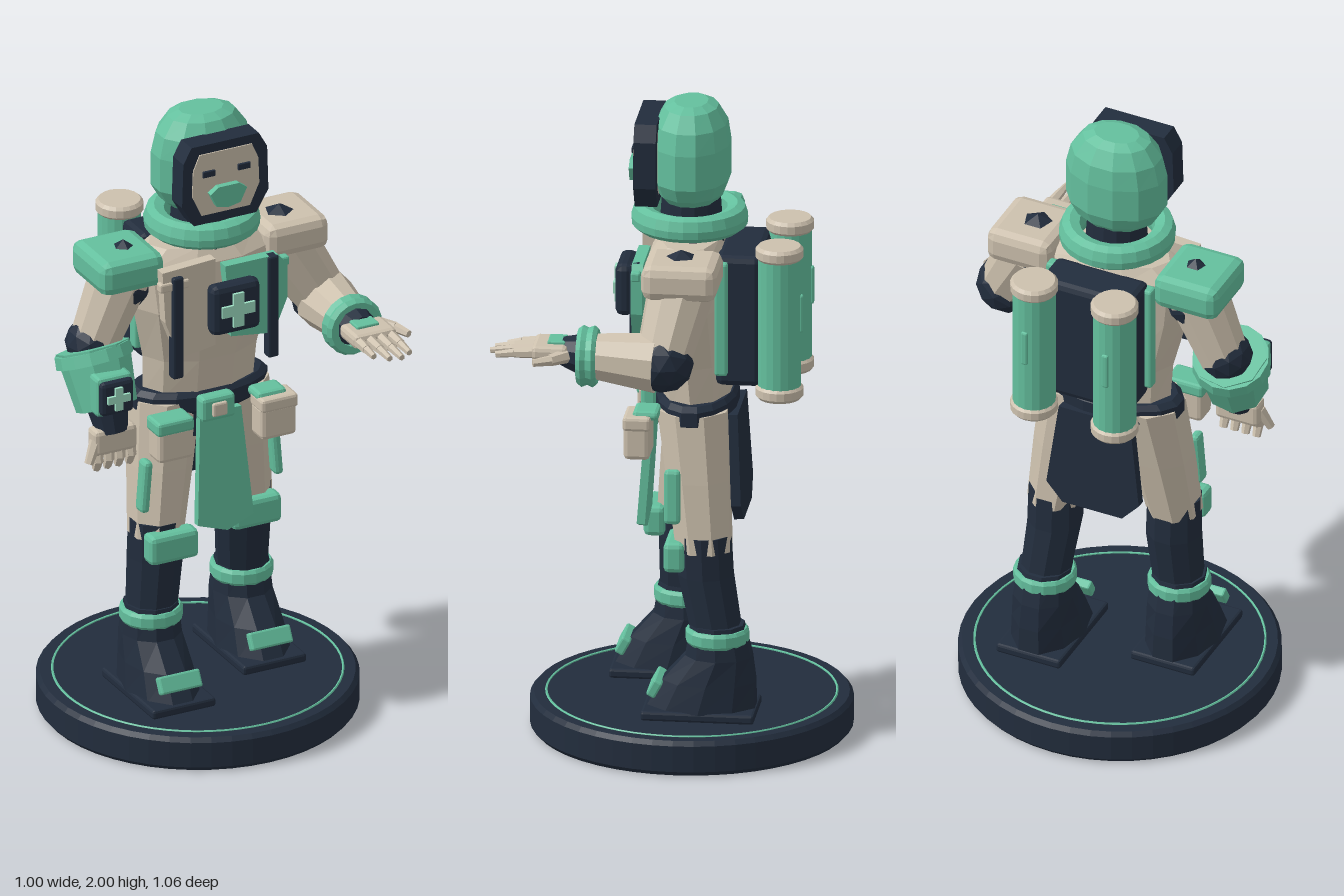
import * as THREE from 'three';
import { RoundedBoxGeometry } from 'three/addons/geometries/RoundedBoxGeometry.js';

export function createModel() {
  const root = new THREE.Group();
  root.name = 'medicFigure';
  const mat = (name, color) => Object.assign(new THREE.MeshStandardMaterial({ color }), { name });
  const green = mat('green', 0x64c09e), dark = mat('darkNavy', 0x222d3d);
  const beige = mat('beige', 0xcdc1ae), mint = mat('paleMint', 0x9fe0c4);

  // Faceted mesh from any geometry
  function add(name, geo, m, x = 0, y = 0, z = 0, rx = 0, ry = 0, rz = 0) {
    const g = geo.index ? geo.toNonIndexed() : geo;
    g.computeVertexNormals();
    const mesh = new THREE.Mesh(g, m);
    mesh.name = name;
    mesh.position.set(x, y, z);
    mesh.rotation.set(rx, ry, rz);
    root.add(mesh);
    return mesh;
  }
  // Chamfered box
  const cbox = (w, h, d, c = 0.012) => new RoundedBoxGeometry(w, h, d, 1, c);
  // Tapered round limb between two points
  function limb(name, m, a, b, ra, rb, n = 10) {
    const A = new THREE.Vector3(...a), B = new THREE.Vector3(...b);
    const mesh = add(name, new THREE.CylinderGeometry(rb, ra, A.distanceTo(B), n), m);
    mesh.position.copy(A).add(B).multiplyScalar(0.5);
    mesh.quaternion.setFromUnitVectors(new THREE.Vector3(0, 1, 0), B.sub(A).normalize());
    return mesh;
  }
  // Loft of elliptical rings [y, rx, rz, cx, cz], listed from top to bottom
  function loft(rings, n = 8) {
    const g = new THREE.CylinderGeometry(1, 1, 1, n, rings.length - 1, false, Math.PI / n);
    const p = g.attributes.position, k = 1 / Math.cos(Math.PI / n);
    for (let i = 0; i < p.count; i++) {
      const [y, rx, rz, cx = 0, cz = 0] = rings[Math.round((0.5 - p.getY(i)) * (rings.length - 1))];
      p.setXYZ(i, p.getX(i) * rx * k + cx, y, p.getZ(i) * rz * k + cz);
    }
    return g;
  }
  // Flat extruded plate from outline points
  const outline = pts => pts.map(([x, y]) => new THREE.Vector2(x, y));
  function plate(pts, depth, hole) {
    const s = new THREE.Shape(outline(pts));
    if (hole) s.holes.push(new THREE.Path(outline(hole)));
    return new THREE.ExtrudeGeometry(s, { depth, bevelEnabled: false });
  }
  function lathe(pts, n) {
    return new THREE.LatheGeometry(outline(pts), n);
  }
  // Square badge carrying a plain cross
  function badge(name, x, y, z, s, d, rot = 0) {
    add(name, cbox(s, s, d, s * 0.12), dark, x, y, z);
    const a = s * 0.11, b = s * 0.34;
    const pts = [[-a, -b], [a, -b], [a, -a], [b, -a], [b, a], [a, a], [a, b], [-a, b], [-a, a], [-b, a], [-b, -a], [-a, -a]];
    add(name + 'Cross', plate(pts, 0.009), mint, x, y, z + d / 2);
  }

  // Display base
  add('base', lathe([[0, 0], [0.478, 0], [0.49, 0.014], [0.49, 0.096], [0.478, 0.11], [0, 0.11]], 48), dark, -0.011, 0, -0.04);
  add('baseRing', new THREE.TorusGeometry(0.44, 0.004, 5, 64), green, -0.011, 0.111, -0.04, Math.PI / 2);

  // Legs and boots; the right foot stands forward
  for (const [side, s, kz, az] of [['left', 1, -0.1, -0.142], ['right', -1, 0.0, 0.0]]) {
    const ax = s * 0.191, kx = s * 0.175;
    add(side + 'Sole', cbox(0.215, 0.03, 0.345, 0.008), dark, ax, 0.125, az + 0.05);
    add(side + 'Boot', loft([[0.4, 0.08, 0.08, ax, az], [0.3, 0.09, 0.1, ax, az - 0.005],
      [0.22, 0.097, 0.14, ax, az + 0.025], [0.135, 0.105, 0.165, ax, az + 0.048]], 10), dark);
    add(side + 'ToePatch', cbox(0.14, 0.055, 0.03, 0.006), green, ax, 0.2, az + 0.185, -0.5);
    add(side + 'AnkleBand', lathe([[0.08, -0.025], [0.09, -0.025], [0.097, -0.015], [0.097, 0.015], [0.09, 0.025], [0.08, 0.025]], 16), green, ax, 0.362, az);
    add(side + 'Shin', loft([[0.68, 0.08, 0.08, kx, kz], [0.55, 0.082, 0.082, kx, kz - 0.005], [0.36, 0.075, 0.075, ax, az]], 10), dark);
    add(side + 'Thigh', loft([[1.06, 0.105, 0.105, s * 0.115, -0.06], [0.85, 0.095, 0.095, s * 0.145, (kz - 0.06) / 2], [0.63, 0.08, 0.082, kx, kz]], 8), beige);
    add(side + 'KneePad', cbox(0.165, 0.095, 0.065, 0.016), green, kx - s * 0.008, 0.615, kz + 0.085);
    add(side + 'ThighPocket', cbox(0.03, 0.17, 0.05, 0.012), green, s * 0.235, 0.81, kz / 2 + 0.04, 0, 0, s * 0.08);
    // Belt pouches
    add(side + 'Pouch', cbox(0.12, 0.11, 0.08, 0.014), beige, s * 0.175, 0.975, 0.1);
    add(side + 'PouchFlap', cbox(0.125, 0.045, 0.085, 0.01), s < 0 ? green : beige, s * 0.177, 1.035, 0.1);
    if (s > 0) add('leftPouchTab', cbox(0.1, 0.03, 0.08), green, 0.165, 1.055, 0.075);
  }

  // Hips, belt and cloth panels
  add('hips', loft([[1.08, 0.18, 0.1, 0, -0.06], [0.93, 0.15, 0.09, 0, -0.06]], 10), dark);
  add('belt', loft([[1.09, 0.205, 0.11, 0, -0.06], [1.075, 0.225, 0.122, 0, -0.06], [1.03, 0.225, 0.122, 0, -0.06], [1.015, 0.205, 0.11, 0, -0.06]], 16), dark);
  add('buckle', cbox(0.115, 0.08, 0.05), green, -0.015, 1.05, 0.085);
  add('buckleCentre', cbox(0.05, 0.045, 0.02, 0.006), beige, -0.015, 1.05, 0.11);
  add('frontCloth', plate([[-0.07, 0], [0.07, 0], [0.1, -0.36], [0.01, -0.395], [-0.09, -0.36]], 0.025), green, 0, 1.03, 0.065, -0.07);
  add('backCloth', plate([[-0.12, 0], [0.12, 0], [0.155, -0.28], [0.1, -0.34], [-0.1, -0.34], [-0.155, -0.28]], 0.03), dark, 0, 1.04, -0.195, 0.05);

  // Torso, chest plates and straps
  add('torso', loft([[1.575, 0.17, 0.09, 0, -0.04], [1.53, 0.24, 0.115, 0, -0.035], [1.38, 0.225, 0.13, 0, -0.03],
    [1.2, 0.185, 0.115, 0, -0.05], [1.07, 0.18, 0.105, 0, -0.06]], 10), beige);
  add('rightChestPlate', plate([[-0.21, 1.55], [-0.03, 1.56], [-0.03, 1.27], [-0.15, 1.25], [-0.2, 1.38]], 0.035), beige, 0, 0, 0.078);
  add('leftChestPlate', plate([[0, 1.53], [0.18, 1.53], [0.212, 1.49], [0.212, 1.38], [0.165, 1.27], [0.02, 1.29]], 0.035), green, 0, 0, 0.085);
  for (const s of [-1, 1]) {
    add('chestStrap', cbox(0.036, 0.34, 0.036, 0.006), dark, s * 0.162, 1.36, 0.11);
    add('strapClip', cbox(0.1, 0.03, 0.03, 0.006), s > 0 ? green : beige, s * 0.17, 1.5, 0.105);
  }
  badge('chestBadge', 0.01, 1.412, 0.155, 0.165, 0.055);

  // Neck, collar and helmet
  add('neck', new THREE.CylinderGeometry(0.088, 0.1, 0.17, 14), dark, 0, 1.64, -0.04);
  add('collar', lathe([[0.115, 1.595], [0.155, 1.595], [0.176, 1.612], [0.178, 1.635], [0.168, 1.665], [0.145, 1.675], [0.115, 1.665], [0.11, 1.62], [0.115, 1.595]], 24), green, 0, 0, -0.035);
  add('helmet', loft([[2, 0.07, 0.05, 0, -0.04], [1.985, 0.105, 0.08, 0, -0.04], [1.935, 0.14, 0.108, 0, -0.04], [1.87, 0.155, 0.117, 0, -0.04],
    [1.76, 0.155, 0.117, 0, -0.04], [1.715, 0.13, 0.1, 0, -0.04], [1.69, 0.1, 0.08, 0, -0.04]], 12), green);
  const oct = (w, t, b) => [[-w, b + 0.07], [-w * 0.72, b], [w * 0.72, b], [w, b + 0.07], [w * 0.97, t - 0.05], [w * 0.78, t], [-w * 0.78, t], [-w * 0.97, t - 0.05]];
  add('visorFrame', plate(oct(0.147, 1.955, 1.69), 0.068, oct(0.113, 1.925, 1.722)), dark, 0, 0, 0.052);
  add('facePlate', plate(oct(0.114, 1.926, 1.721), 0.072), beige, 0, 0, 0.052);
  for (const s of [-1, 1]) add('eye', cbox(0.042, 0.02, 0.009, 0.002), dark, s * 0.06, 1.86, 0.128);
  add('faceMask', plate([[-0.062, 1.795], [-0.035, 1.815], [0.035, 1.815], [0.062, 1.795], [0.04, 1.75], [0, 1.742], [-0.04, 1.75]], 0.022), green, 0, 0, 0.122);

  // Backpack with twin tanks
  add('backpack', cbox(0.31, 0.415, 0.14, 0.02), dark, 0, 1.348, -0.2);
  for (const s of [-1, 1]) add('packSideFrame', cbox(0.035, 0.36, 0.04, 0.008), green, s * 0.16, 1.36, -0.15);
  for (const x of [-0.13, 0.14]) {
    add('tank', new THREE.CylinderGeometry(0.066, 0.066, 0.46, 18), green, x, 1.352, -0.325);
    for (const y of [1.131, 1.573])
      add('tankCap', lathe([[0, -0.022], [0.064, -0.022], [0.073, -0.012], [0.073, 0.012], [0.064, 0.022], [0, 0.022]], 20), beige, x, y, -0.325);
    add('tankRib', cbox(0.022, 0.12, 0.02, 0.006), green, x, 1.38, -0.388);
  }

  // Shoulders
  for (const [side, s, m] of [['right', -1, green], ['left', 1, beige]]) {
    add(side + 'ShoulderPad', cbox(0.215, 0.11, 0.23, 0.03), m, s * 0.28, 1.535, -0.045);
    add(side + 'ShoulderStud', new THREE.ConeGeometry(s > 0 ? 0.062 : 0.042, 0.03, 5), dark, s * 0.265, 1.597, -0.04);
    add(side + 'ShoulderJoint', new THREE.IcosahedronGeometry(0.095, 1), dark, s * 0.27, 1.47, -0.045);
  }

  // Right arm hanging, with gauntlet and badge
  limb('rightUpperArm', beige, [-0.27, 1.5, -0.045], [-0.365, 1.28, -0.045], 0.098, 0.078);
  add('rightElbow', new THREE.IcosahedronGeometry(0.082, 1), dark, -0.37, 1.29, -0.045);
  limb('rightGauntlet', green, [-0.375, 1.28, -0.03], [-0.365, 1.11, 0.045], 0.115, 0.095, 8);
  limb('rightGauntletRim', green, [-0.377, 1.275, -0.03], [-0.374, 1.24, -0.015], 0.118, 0.122, 14);
  add('gauntletMount', cbox(0.12, 0.13, 0.06), green, -0.38, 1.185, 0.1);
  badge('gauntletBadge', -0.38, 1.185, 0.135, 0.112, 0.03);
  limb('rightWrist', dark, [-0.365, 1.12, 0.045], [-0.36, 1.035, 0.07], 0.065, 0.05);
  add('rightPalm', cbox(0.145, 0.085, 0.06, 0.014), beige, -0.36, 1.015, 0.072);
  for (let i = 0; i < 4; i++) {
    const x = -0.415 + i * 0.037;
    limb('rightFinger', beige, [x, 0.99, 0.08], [x, 0.95, 0.088], 0.018, 0.016, 6);
    limb('rightFingertip', beige, [x, 0.96, 0.088], [x, 0.922, 0.072], 0.016, 0.013, 6);
  }
  limb('rightThumb', beige, [-0.42, 1.02, 0.08], [-0.452, 0.955, 0.095], 0.02, 0.014, 6);

  // Left arm reaching forward with an open hand
  limb('leftUpperArm', beige, [0.27, 1.5, -0.045], [0.385, 1.3, 0], 0.105, 0.085);
  add('leftElbow', new THREE.IcosahedronGeometry(0.094, 1), dark, 0.388, 1.292, 0.0);
  limb('leftForearm', beige, [0.39, 1.29, 0.02], [0.375, 1.3, 0.225], 0.095, 0.07);
  add('leftCuff', lathe([[0.06, -0.03], [0.084, -0.03], [0.094, -0.018], [0.087, 0], [0.094, 0.016], [0.084, 0.03], [0.06, 0.03], [0.06, -0.03]], 18), green, 0.374, 1.298, 0.23, Math.PI / 2);
  limb('leftWrist', dark, [0.374, 1.3, 0.21], [0.372, 1.312, 0.31], 0.078, 0.045);
  add('leftPalm', cbox(0.145, 0.045, 0.11, 0.014), beige, 0.372, 1.32, 0.342);
  add('leftHandPatch', cbox(0.075, 0.014, 0.055, 0.004), green, 0.368, 1.344, 0.323);
  [0.48, 0.515, 0.525, 0.505].forEach((tip, i) => {
    const x = 0.317 + i * 0.036, mid = 0.39 + (tip - 0.39) * 0.52;
    limb('leftFinger', beige, [x, 1.32, 0.385], [x + 0.001, 1.317, mid], 0.018, 0.015, 6);
    limb('leftFingertip', beige, [x + 0.001, 1.317, mid], [x + 0.003, 1.311, tip], 0.014, 0.01, 6);
  });
  limb('leftThumb', beige, [0.43, 1.315, 0.29], [0.468, 1.312, 0.335], 0.022, 0.018, 6);
  limb('leftThumbTip', beige, [0.468, 1.312, 0.33], [0.488, 1.308, 0.385], 0.017, 0.012, 6);

  return root;
}
